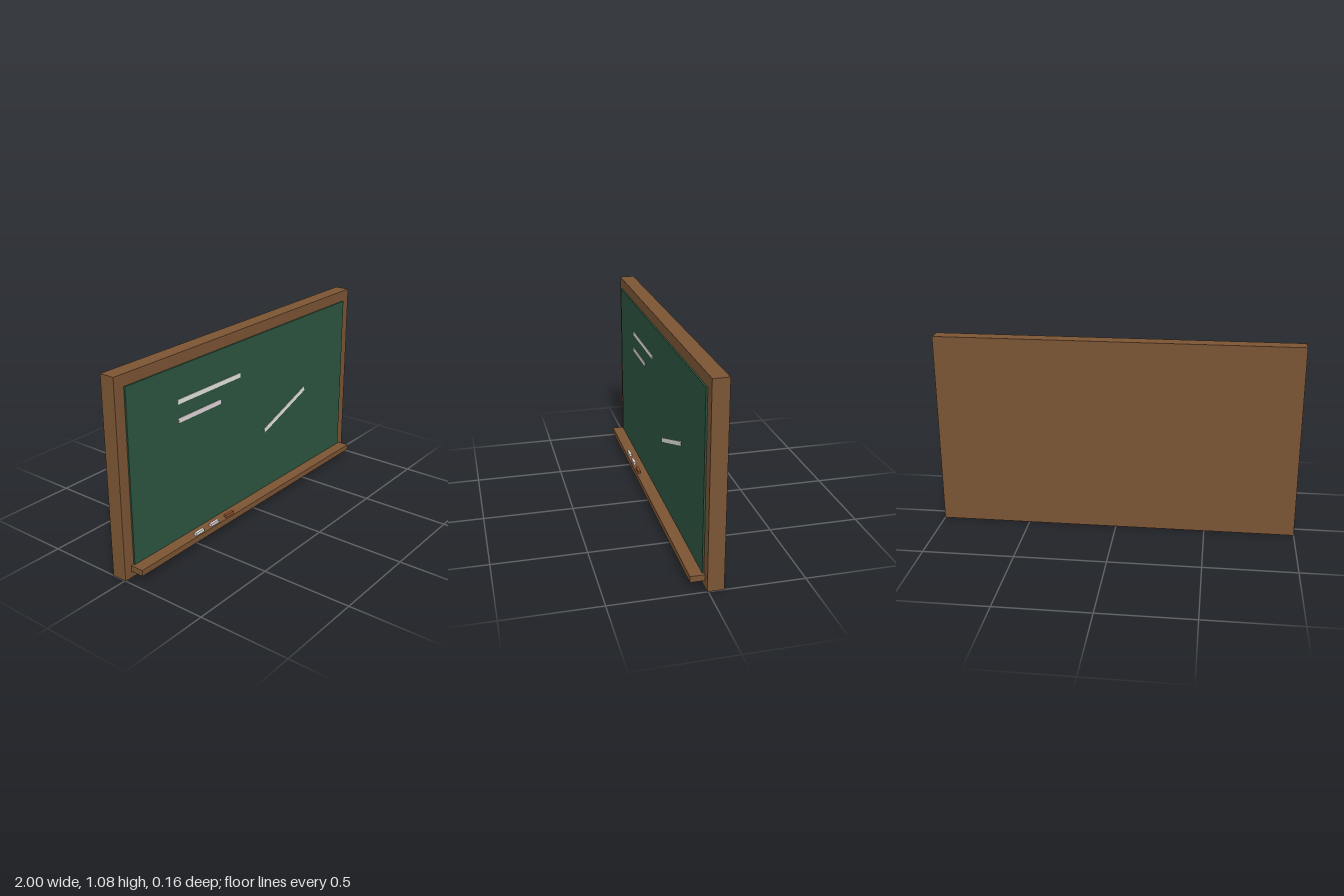
import * as THREE from 'three';

const mat = (name, color) => {
  const m = new THREE.MeshStandardMaterial({ color });
  m.name = name;
  return m;
};

export function createModel() {
  const group = new THREE.Group();
  const wood = mat('wood', 0x7b5534);
  const green = mat('board green', 0x2c5540);
  const white = mat('chalk white', 0xe6e9e0);
  const pink = mat('pale pink chalk', 0xe2d8dc);
  const rust = mat('rust chalk', 0x96502a);

  // Box given by its limits on each axis
  const box = (name, material, [x0, x1], [y0, y1], [z0, z1]) => {
    const mesh = new THREE.Mesh(new THREE.BoxGeometry(x1 - x0, y1 - y0, z1 - z0), material);
    mesh.name = name;
    mesh.position.set((x0 + x1) / 2, (y0 + y1) / 2, (z0 + z1) / 2);
    group.add(mesh);
    return mesh;
  };

  // Frame, writing surface and ledge
  box('frame', wood, [-1, 1], [0, 1.083], [-0.08, 0.005]);
  box('writingSurface', green, [-0.938, 0.938], [0.062, 1.021], [0.004, 0.0135]);
  box('chalkTray', wood, [-0.955, 0.955], [0.035, 0.068], [0.004, 0.08]);

  // Chalk strokes on the board
  const strokeZ = [0.0125, 0.0165];
  box('upperStroke', white, [-0.584, -0.083], [0.821, 0.847], strokeZ);
  box('lowerStroke', pink, [-0.584, -0.253], [0.72, 0.746], strokeZ);
  const slanted = box('slantedStroke', white, [0.125, 0.541], [0.49, 0.516], strokeZ);
  slanted.rotation.z = 0.35;

  // Chalk sticks lying on the tray
  [[-0.502, white], [-0.379, pink], [-0.251, rust]].forEach(([x, material], i) =>
    box('chalkStick' + (i + 1), material, [x - 0.033, x + 0.033], [0.067, 0.084], [0.056, 0.071]));

  return group;
}
